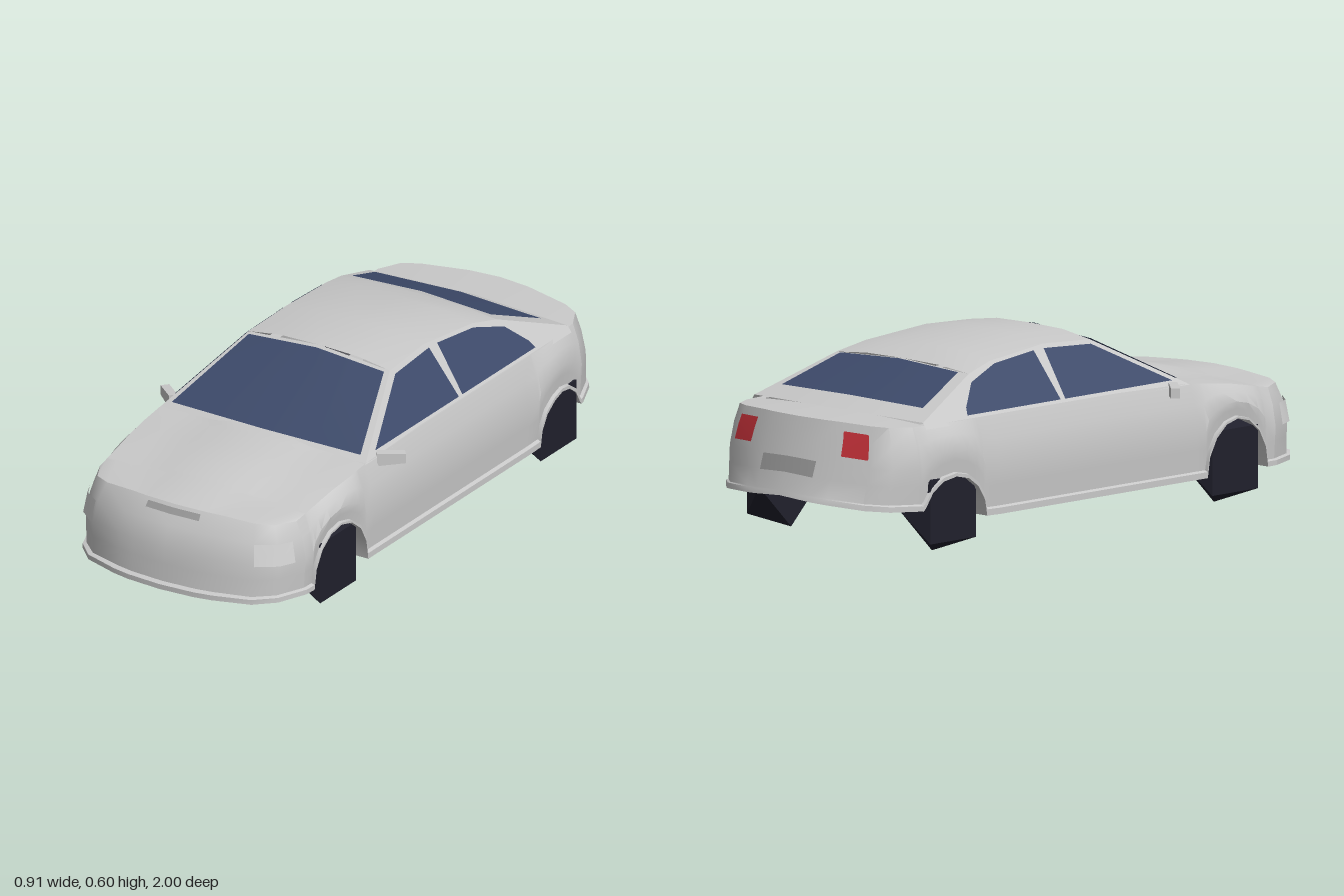
import * as THREE from 'three';
import { toCreasedNormals } from 'three/addons/utils/BufferGeometryUtils.js';
import { ConvexGeometry } from 'three/addons/geometries/ConvexGeometry.js';

const lerp = THREE.MathUtils.lerp;
const V = (x, y, z) => new THREE.Vector3(x, y, z);

// piecewise-linear curve through [input, output] pairs (ascending)
const curve = (pts) => (v) => {
  if (v <= pts[0][0]) return pts[0][1];
  for (let i = 1; i < pts.length; i++) {
    const [a, b] = [pts[i - 1], pts[i]];
    if (v <= b[0]) return lerp(a[1], b[1], (v - a[0]) / (b[0] - a[0]));
  }
  return pts[pts.length - 1][1];
};

function material(name, color) {
  const m = new THREE.MeshStandardMaterial({ color, side: THREE.DoubleSide });
  m.name = name;
  return m;
}

// triangles of a grid given as rows of points
function grid(rows) {
  const out = [];
  for (let i = 0; i + 1 < rows.length; i++)
    for (let j = 0; j + 1 < rows[i].length; j++) {
      const [a, b, c, d] = [rows[i][j], rows[i][j + 1], rows[i + 1][j + 1], rows[i + 1][j]];
      out.push(a, b, c, a, c, d);
    }
  return out;
}

// triangles of a convex polygon
function fan(pts) {
  const out = [];
  for (let i = 1; i + 1 < pts.length; i++) out.push(pts[0], pts[i], pts[i + 1]);
  return out;
}

// half-model triangles, turned outwards and mirrored to the other side
function mirrored(name, mat, tris) {
  const centre = V(0, 0.3, 0);
  let facing = 0;
  for (let i = 0; i < tris.length; i += 3) {
    const [a, b, c] = tris.slice(i, i + 3);
    facing += b.clone().sub(a).cross(c.clone().sub(a)).dot(a.clone().sub(centre));
  }
  const pos = [];
  for (let i = 0; i < tris.length; i += 3) {
    const [a, b, c] = facing < 0 ? [tris[i], tris[i + 2], tris[i + 1]] : tris.slice(i, i + 3);
    for (const p of [a, b, c]) pos.push(p.x, p.y, p.z);
    for (const p of [a, c, b]) pos.push(-p.x, p.y, p.z);
  }
  const g = new THREE.BufferGeometry();
  g.setAttribute('position', new THREE.Float32BufferAttribute(pos, 3));
  const mesh = new THREE.Mesh(toCreasedNormals(g, 0.55), mat);
  mesh.name = name;
  return mesh;
}

export function createModel() {
  const car = new THREE.Group();
  car.name = 'car';
  const paint = material('silver paint', 0xc9c9c9);
  const glass = material('blue tinted glass', 0x3d4a6a);
  const rubber = material('dark rubber', 0x20202c);
  const red = material('red lens', 0xc8323a);
  const lens = material('pale lens', 0xd2d2d2);
  const recess = material('grey recess', 0x9c9c9c);
  const add = (name, mat, tris) => car.add(mirrored(name, mat, tris));

  // shape rules: f runs from the centre line to the side, t from sill to shoulder
  const F = [0, 0.3, 0.45, 0.75, 0.9, 1];
  const T = [0, 0.065, 0.08, 0.3, 0.5, 0.78, 1];
  const sideX = curve([[0, 0.42], [0.065, 0.42], [0.08, 0.408], [0.5, 0.415], [0.78, 0.402], [1, 0.38]]);
  const width = curve([[-0.78, 0.95], [-0.6, 1], [0.5, 1], [0.78, 0.96]]);
  const shoulder = curve([[-0.78, 0.41], [0.2, 0.41], [0.42, 0.403], [0.6, 0.38], [0.78, 0.345]]);
  const floorY = curve([[-0.78, 0.15], [-0.5, 0.105], [0.78, 0.105]]);
  const crown = curve([[-0.5, 0.01], [0.42, 0.01], [0.6, 0.014], [0.74, 0.012], [0.78, 0.015]]);
  const bulge = curve([[0, 0.01], [0.3, 0.01], [0.45, 0]]);

  // wheel arches and the stations along the body
  const arches = [{ z: 0.6, r: 0.14, h: 0.17 }, { z: -0.64, r: 0.13, h: 0.14 }];
  const archStations = (a) => Array.from({ length: 9 }, (_, k) => a.z + a.r * Math.cos((k * Math.PI) / 8));
  const stations = [0.78, ...archStations(arches[0]), 0.42, 0.1, -0.2, -0.45, ...archStations(arches[1]), -0.78];
  const sillY = (z) => Math.max(floorY(z), ...arches.map((a) =>
    0.105 + a.h * Math.sqrt(Math.max(0, 1 - ((z - a.z) / a.r) ** 2))));

  // body sides
  const side = (z, t) => V(sideX(t) * width(z), lerp(sillY(z), shoulder(z), t), z);
  add('bodySides', paint, grid(stations.map((z) =>
    [...T.map((t) => side(z, t)), V(0.34, shoulder(z), z)])));

  // nose, bowed in plan
  const noseZ = curve([[0, 1], [0.3, 0.992], [0.45, 0.98], [0.75, 0.94], [0.9, 0.88], [1, 0.78]]);
  const noseBack = curve([[0, 0], [0.065, 0], [0.08, 0.018], [0.5, 0.03], [0.78, 0.05], [1, 0.09]]);
  const nose = (f, t, out = 0) => V(sideX(t) * 0.96 * f + out * f,
    lerp(0.105, 0.345 + 0.015 * (1 - f * f), t), noseZ(f) - noseBack(t) * (1 - f ** 4) + out);
  add('frontBumper', paint, grid(T.map((t) => F.map((f) => nose(f, t)))));
  add('headlights', lens, grid([0.5, 0.78].map((t) => [0.75, 0.9, 0.96].map((f) => nose(f, t, 0.006)))));
  add('scoopSlot', recess, grid([0.9, 0.97].map((t) => [0, 0.26].map((f) => nose(f, t, 0.005)))));

  // tail, bowed and leaning forward
  const tailZ = curve([[0, -1], [0.3, -0.99], [0.45, -0.975], [0.75, -0.93], [0.9, -0.875], [1, -0.78]]);
  const tail = (f, t, out = 0) => V(sideX(t) * 0.95 * f + out * f * 0.5,
    lerp(lerp(0.18, 0.15, f), 0.41 + 0.01 * (1 - f * f), t), tailZ(f) + 0.08 * t * (1 - f ** 4) - out);
  add('rearBumper', paint, grid(T.map((t) => F.map((f) => tail(f, t)))));
  add('tailLights', red, grid([0.6, 0.78, 0.9].map((t) => [0.5, 0.74].map((f) => tail(f, t, 0.006)))));
  add('numberPlateRecess', recess, grid([0.3, 0.5].map((t) => [0, 0.29].map((f) => tail(f, t, 0.005)))));

  // hood with its raised centre, and boot lid
  const deck = (z, f) => V(sideX(1) * width(z) * f,
    shoulder(z) + crown(z) * (1 - f * f) + (z > 0 ? bulge(f) : 0), z);
  const deckRow = (z) => F.map((f) => deck(z, f));
  add('hood', paint, grid([F.map((f) => nose(f, 1)), ...stations.filter((z) => z < 0.78 && z > 0.41).map(deckRow)]));
  add('bootLid', paint, grid([...stations.filter((z) => z < -0.7 && z > -0.78).map(deckRow), F.map((f) => tail(f, 1))]));

  // floor with wheel wells
  add('floor', paint, [
    ...grid(stations.map((z) => [V(0, floorY(z), z), V(0.27, floorY(z), z), V(0.27, sillY(z), z), side(z, 0)])),
    ...fan([V(0, 0.105, 0.78), ...F.map((f) => nose(f, 0))]),
  ]);
  add('rearUnderside', paint, fan([V(0, 0.15, -0.78), ...F.map((f) => tail(f, 0))]));

  // cabin sides lie on one leaning plane
  const cabin = (z, y, out = 0) => V(0.375 - (y - 0.41) * 0.72 + out, y + out * 0.7, z);
  const onCabin = (pts, out) => fan(pts.map(([z, y]) => cabin(z, y, out)));
  add('cabinSides', paint, onCabin([[0.42, 0.4], [0.1, 0.567], [-0.1, 0.577], [-0.35, 0.555],
    [-0.46, 0.53], [-0.74, 0.42], [-0.74, 0.4]], 0));
  add('frontSideWindows', glass, onCabin([[0.35, 0.418], [0.09, 0.553], [-0.11, 0.563], [-0.12, 0.418]], 0.004));
  add('rearSideWindows', glass, onCabin([[-0.14, 0.418], [-0.155, 0.562], [-0.34, 0.545],
    [-0.47, 0.505], [-0.54, 0.44], [-0.55, 0.418]], 0.004));

  // roof
  const roofRows = [[0.1, 0.567, 0.588], [-0.1, 0.577, 0.597], [-0.35, 0.555, 0.577], [-0.46, 0.53, 0.545]];
  add('roof', paint, grid(roofRows.map(([z, edge, mid]) => {
    const e = cabin(z, edge);
    return [V(0, mid, z), V(e.x * 0.55, lerp(edge, mid, 0.85), z), e];
  })));

  // front and rear screens: a painted frame with glass laid on it
  function screen(name, top, bottom, uMax, v0, v1, lift) {
    const at = (u, v) => top[0].clone().lerp(top[1], u).lerp(bottom[0].clone().lerp(bottom[1], u), v);
    const rows = (us, vs, off) => grid(vs.map((v) => us.map((u) => at(u, v).add(off))));
    add(name + 'Frame', paint, rows([0, 0.5, 1], [0, 1], V(0, 0, 0)));
    add(name, glass, rows([0, 0.5, uMax], [v0, v1], lift));
  }
  screen('windscreen', [V(0, 0.588, 0.1), cabin(0.1, 0.567)], [V(0, 0.405, 0.44), cabin(0.42, 0.4)],
    0.94, 0.04, 0.92, V(0, 0.005, 0.003));
  screen('rearWindow', [V(0, 0.545, -0.46), cabin(-0.46, 0.53)], [V(0, 0.425, -0.76), cabin(-0.74, 0.42)],
    0.88, 0.04, 0.77, V(0, 0.006, -0.003));

  // rough faceted wheels: two squares, the inner one turned by an eighth
  const ring = (x, turn) => Array.from({ length: 4 }, (_, k) => {
    const a = turn + (k * Math.PI) / 2;
    return V(x, Math.cos(a) * 0.142, Math.sin(a) * 0.142);
  });
  const wheelShape = new ConvexGeometry([...ring(0.048, Math.PI / 4), ...ring(-0.045, 0)]);
  for (const s of [1, -1])
    for (const [name, z, y] of [['frontWheel', 0.6, 0.142], ['rearWheel', -0.64, 0.142]]) {
      const wheel = new THREE.Mesh(wheelShape, rubber);
      wheel.name = name;
      wheel.position.set(s * 0.352, y, z);
      wheel.rotation.y = s > 0 ? 0 : Math.PI;
      car.add(wheel);
    }

  // door mirrors, tapered outwards
  const mirrorShape = new THREE.BoxGeometry(0.09, 0.042, 0.028);
  const mp = mirrorShape.attributes.position;
  for (let i = 0; i < mp.count; i++) if (mp.getX(i) > 0) mp.setY(i, mp.getY(i) * 0.75);
  mirrorShape.computeVertexNormals();
  for (const s of [1, -1]) {
    const pivot = new THREE.Group();
    pivot.name = s > 0 ? 'leftMirror' : 'rightMirror';
    const shell = new THREE.Mesh(mirrorShape, paint);
    shell.name = 'mirrorShell';
    shell.position.set(0.412, 0.395, 0.32);
    shell.rotation.y = 0.7;
    pivot.scale.x = s;
    pivot.add(shell);
    car.add(pivot);
  }
  return car;
}
